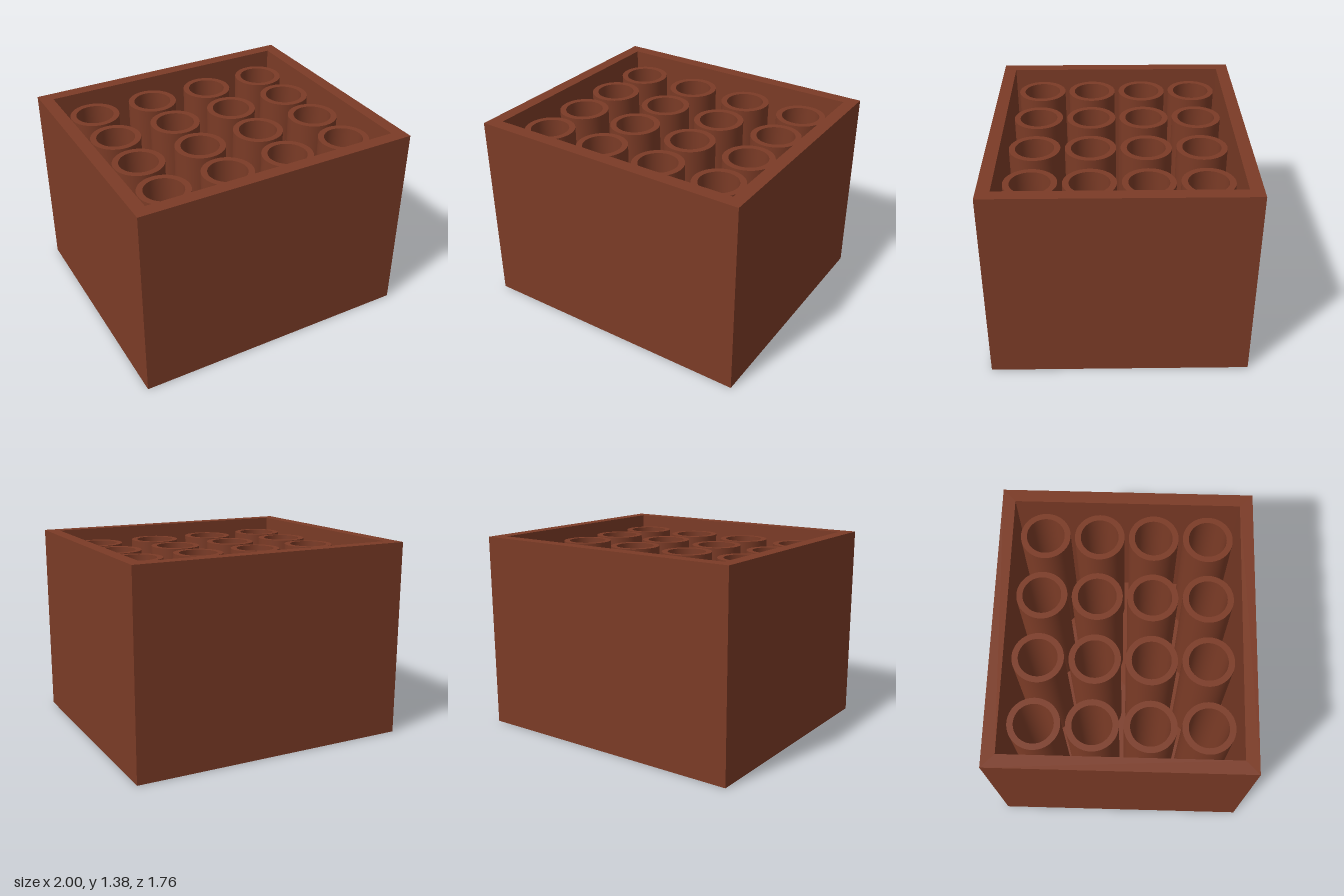
import * as THREE from 'three';
import { toCreasedNormals } from 'three/addons/utils/BufferGeometryUtils.js';

const HEIGHT = 1.385, FLOOR = 0.09, TUBE_TOP = 1.305;

// Surface through rectangular rings [half width, half depth, height], flat shaded
function rectangularLoft(rings) {
  const signs = [[1, 1], [1, -1], [-1, -1], [-1, 1]];
  const corner = ([w, d, y], k) => [signs[k % 4][0] * w, y, signs[k % 4][1] * d];
  const positions = [];
  for (let i = 0; i < rings.length - 1; i++) {
    const [a, b] = [rings[i], rings[i + 1]];
    for (let k = 0; k < 4; k++) {
      // a ring of zero size is a single point and needs one triangle per side
      if (a[0] > 0) positions.push(...corner(a, k), ...corner(a, k + 1), ...corner(b, k + 1));
      if (b[0] > 0) positions.push(...corner(a, k), ...corner(b, k + 1), ...corner(b, k));
    }
  }
  const geometry = new THREE.BufferGeometry();
  geometry.setAttribute('position', new THREE.Float32BufferAttribute(positions, 3));
  geometry.computeVertexNormals();
  return geometry;
}

export function createModel() {
  const model = new THREE.Group();
  model.name = 'boxWithTubes';
  const material = new THREE.MeshStandardMaterial({ color: 0x7b3b26 });

  // Open box: underside, outer walls, rim, inner walls, floor
  const box = new THREE.Mesh(rectangularLoft([
    [0, 0, 0], [1, 0.88, 0], [1, 0.88, HEIGHT],
    [0.91, 0.79, HEIGHT], [0.91, 0.79, FLOOR], [0, 0, FLOOR],
  ]), material);
  box.name = 'openBox';
  model.add(box);

  // Hollow tubes standing on the floor in a 4 x 4 grid
  const profile = [[0.175, FLOOR], [0.175, TUBE_TOP], [0.133, TUBE_TOP], [0.133, FLOOR]]
    .map(([r, y]) => new THREE.Vector2(r, y));
  const tubeGeometry = toCreasedNormals(new THREE.LatheGeometry(profile, 64), 0.6);
  const tubes = new THREE.Group();
  tubes.name = 'tubes';
  for (let row = 0; row < 4; row++) {
    for (let column = 0; column < 4; column++) {
      const tube = new THREE.Mesh(tubeGeometry, material);
      tube.name = `tube${row * 4 + column + 1}`;
      tube.position.set((column - 1.5) * 0.456, 0, (row - 1.5) * 0.38);
      tubes.add(tube);
    }
  }
  model.add(tubes);
  return model;
}
